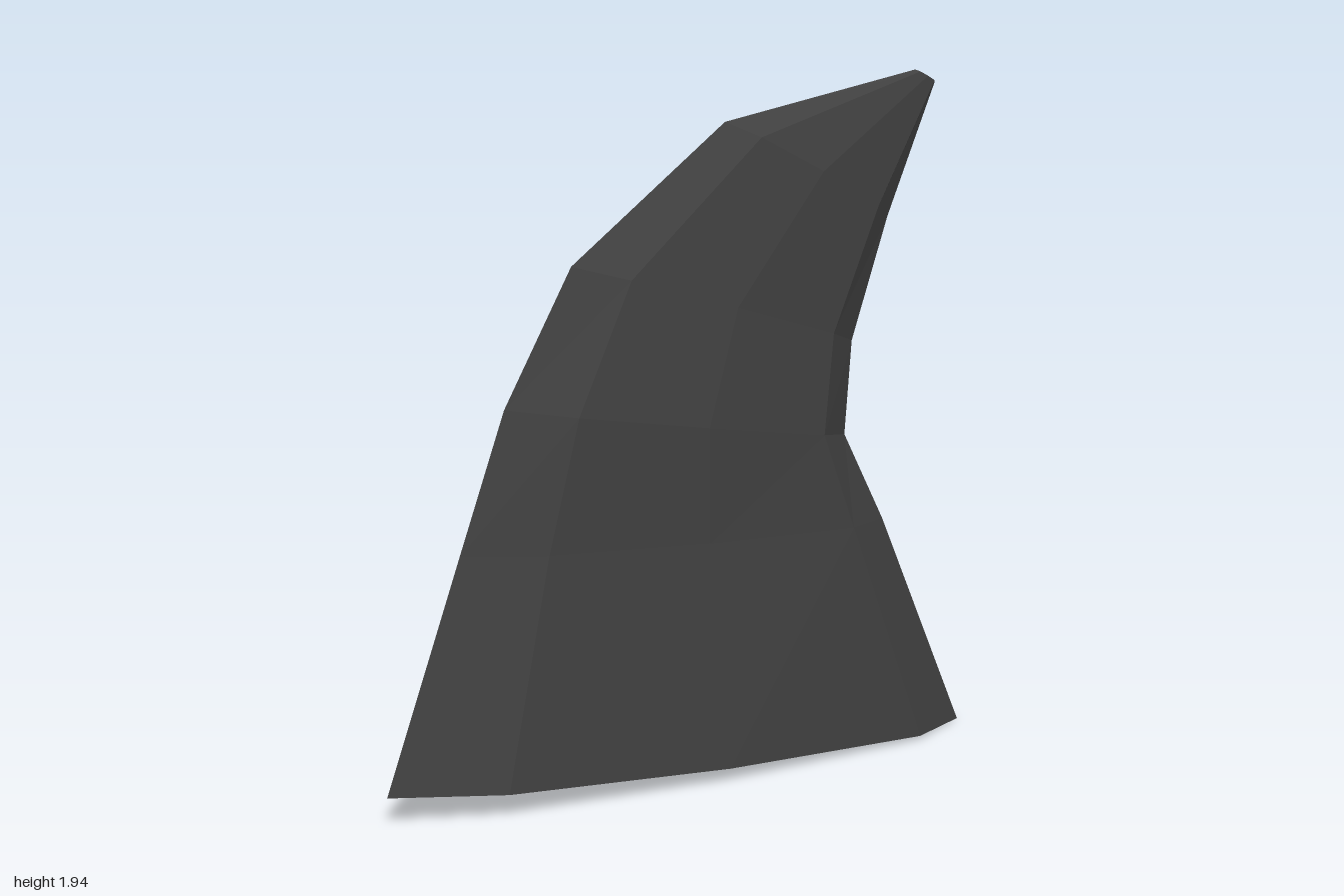
import * as THREE from 'three';

// Each cross-section: front edge [z, y], back edge [z, y], half width, shoulder half width
const sections = [
  { front: [1, 0.07], back: [-1, 0], mid: 0.185, shoulder: 0.132 },
  { front: [0.765, 0.69], back: [-0.7, 0.64], mid: 0.135, shoulder: 0.1 },
  { front: [0.62, 1.07], back: [-0.555, 0.9], mid: 0.132, shoulder: 0.097 },
  { front: [0.4, 1.44], back: [-0.58, 1.17], mid: 0.1, shoulder: 0.074 },
  { front: [-0.12, 1.81], back: [-0.71, 1.52], mid: 0.072, shoulder: 0.052 },
  { front: [-0.81, 1.937], back: [-0.885, 1.9], mid: 0.014, shoulder: 0.011 },
];

// Eight-sided ring: front edge, left side, back edge, right side
function ring({ front, back, mid, shoulder }) {
  const at = (t, x) => new THREE.Vector3(
    x,
    THREE.MathUtils.lerp(front[1], back[1], t),
    THREE.MathUtils.lerp(front[0], back[0], t),
  );
  return [
    at(0, 0), at(0.15, shoulder), at(0.5, mid), at(0.87, shoulder),
    at(1, 0), at(0.87, -shoulder), at(0.5, -mid), at(0.15, -shoulder),
  ];
}

function finGeometry() {
  const rings = sections.map(ring);
  const points = [];
  const n = 8;

  // Faceted sides, with diagonals mirrored left to right
  for (let k = 0; k < rings.length - 1; k++) {
    const lo = rings[k], hi = rings[k + 1];
    for (let i = 0; i < n; i++) {
      const j = (i + 1) % n;
      if (i < n / 2) points.push(lo[i], lo[j], hi[j], lo[i], hi[j], hi[i]);
      else points.push(lo[i], lo[j], hi[i], lo[j], hi[j], hi[i]);
    }
  }

  // Flat base and small blunt tip
  const base = rings[0], tip = rings[rings.length - 1];
  for (let i = 1; i < n - 1; i++) {
    points.push(base[0], base[i + 1], base[i]);
    points.push(tip[0], tip[i], tip[i + 1]);
  }

  const geometry = new THREE.BufferGeometry().setFromPoints(points);
  geometry.computeVertexNormals();
  return geometry;
}

export function createModel() {
  const group = new THREE.Group();
  group.name = 'dorsalFin';

  const charcoal = new THREE.MeshStandardMaterial({ color: 0x404040, flatShading: true });
  charcoal.name = 'charcoal';

  const fin = new THREE.Mesh(finGeometry(), charcoal);
  fin.name = 'fin';
  group.add(fin);
  return group;
}
